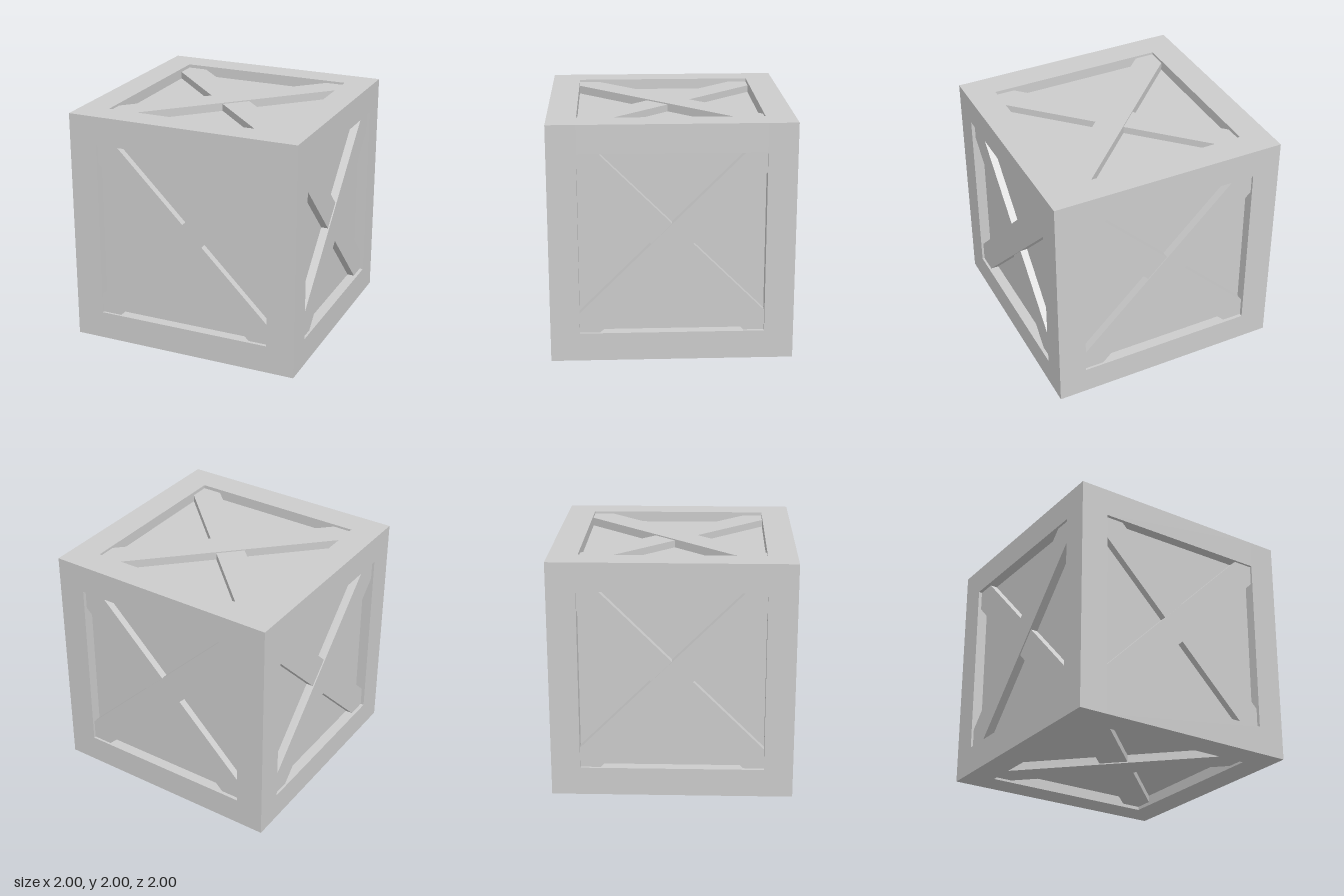
import * as THREE from 'three';

const SIZE = 2;
const BEAM = 0.24;                 // square section of the frame timbers
const OPEN = SIZE - 2 * BEAM;      // clear opening of each face
const PANEL_DEPTH = 0.09;          // how far the panels sit back
const material = new THREE.MeshStandardMaterial({ color: 0xcccccc });

function box(name, w, h, d) {
  const mesh = new THREE.Mesh(new THREE.BoxGeometry(w, h, d), material);
  mesh.name = name;
  return mesh;
}

// Diagonal plank; its ends are buried in the frame
function brace(name, angle, recess) {
  const back = PANEL_DEPTH + 0.01;
  const mesh = box(name, 2.4, BEAM, back - recess);
  mesh.position.z = SIZE / 2 - (back + recess) / 2;
  mesh.rotation.z = angle;
  return mesh;
}

// Crossed planks of one face, facing +z before being turned
function crossBrace(name, rx, ry) {
  const group = new THREE.Group();
  group.name = name;
  group.add(
    brace('outerBrace', Math.PI / 4, 0.02),
    brace('innerBrace', -Math.PI / 4, 0.03)
  );
  group.rotation.set(rx, ry, 0);
  return group;
}

export function createModel() {
  const crate = new THREE.Group();
  crate.name = 'crate';
  const body = new THREE.Group();
  body.name = 'crateBody';
  body.position.y = SIZE / 2;
  crate.add(body);

  // Recessed panels on all six sides
  const core = SIZE - 2 * PANEL_DEPTH;
  body.add(box('panels', core, core, core));

  // Frame: four corner posts with rails between them
  const c = (SIZE - BEAM) / 2;
  for (const a of [-c, c]) {
    for (const b of [-c, c]) {
      const post = box('cornerPost', BEAM, SIZE, BEAM);
      post.position.set(a, 0, b);
      const railX = box('crossRail', OPEN, BEAM, BEAM);
      railX.position.set(0, a, b);
      const railZ = box('sideRail', BEAM, BEAM, OPEN);
      railZ.position.set(a, b, 0);
      body.add(post, railX, railZ);
    }
  }

  // Crossed braces on every face
  const q = Math.PI / 2;
  ['front', 'left', 'back', 'right'].forEach((side, i) => {
    body.add(crossBrace(side + 'Braces', 0, i * q));
  });
  body.add(crossBrace('topBraces', -q, 0), crossBrace('bottomBraces', q, 0));

  return crate;
}
